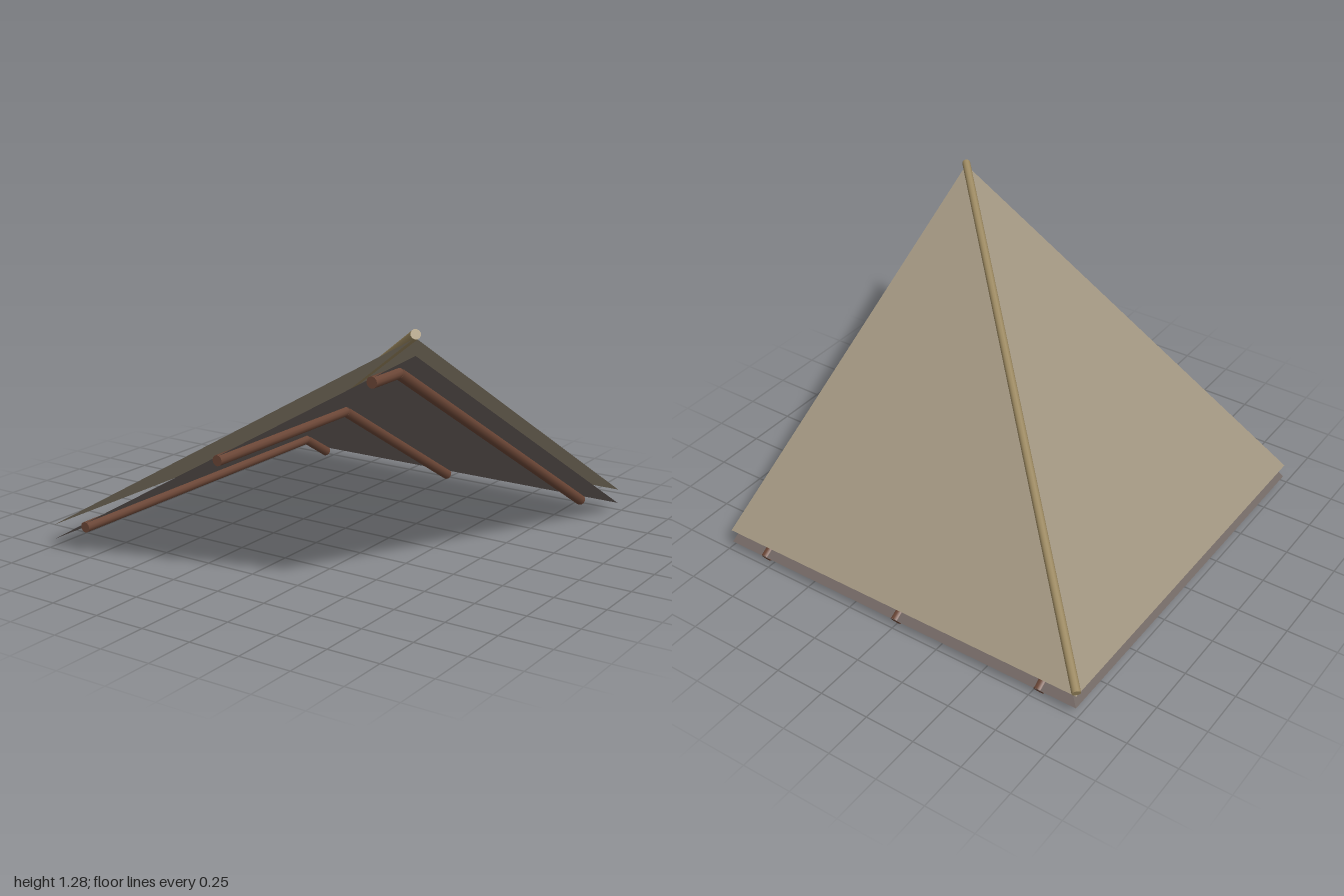
import * as THREE from 'three';

const HALF = 0.985;      // half width of the square roof corner
const RISE = 1.137;      // height gained from eave to peak
const SLOPE = RISE / (2 * HALF);

const paint = (color, side = THREE.FrontSide) => new THREE.MeshStandardMaterial({ color, side });

// One triangular roof slope; the hip runs from (-x,-z) up to (+x,+z)
function slope(name, eaveY, corners, material) {
  const points = corners.map(([x, z, up]) => new THREE.Vector3(x * HALF, eaveY + up * RISE, z * HALF));
  const geometry = new THREE.BufferGeometry().setFromPoints(points);
  geometry.computeVertexNormals();
  const mesh = new THREE.Mesh(geometry, material);
  mesh.name = name;
  return mesh;
}

// Round pole between two points
function pole(name, a, b, radius, material) {
  const direction = b.clone().sub(a);
  const mesh = new THREE.Mesh(new THREE.CylinderGeometry(radius, radius, direction.length(), 12), material);
  mesh.position.copy(a).add(b).multiplyScalar(0.5);
  mesh.quaternion.setFromUnitVectors(new THREE.Vector3(0, 1, 0), direction.normalize());
  mesh.name = name;
  return mesh;
}

export function createModel() {
  const model = new THREE.Group();
  model.name = 'roofCorner';
  const v = (x, y, z) => new THREE.Vector3(x, y, z);
  const wood = paint(0x6b4636);

  // Shingle cover above, lining sheet below, each with two slopes
  const layers = [
    ['shingle', 0.12, paint(0x9c907b, THREE.DoubleSide)],
    ['lining', 0.05, paint(0x6e6460, THREE.DoubleSide)],
  ];
  for (const [name, eaveY, material] of layers) {
    model.add(slope(name + 'SideSlope', eaveY, [[-1, -1, 0], [-1, 1, 0], [1, 1, 1]], material));
    model.add(slope(name + 'BackSlope', eaveY, [[-1, -1, 0], [1, 1, 1], [1, -1, 0]], material));
  }

  // Hip pole along the diagonal
  model.add(pole('hipPole', v(-0.985, 0.14, -0.985), v(0.985, 1.272, 0.985), 0.021, paint(0x9a875f)));

  // Bent beams: level under the side slope, then down under the back slope
  for (const x of [-0.785, 0, 0.785]) {
    const beam = new THREE.Group();
    beam.name = 'beam';
    const y = 0.6 + x * SLOPE;
    const endZ = -0.973;
    const bend = v(x, y, x);
    beam.add(pole('purlin', v(x, y, HALF), bend, 0.025, wood));
    beam.add(pole('rafter', bend, v(x, 0.6 + endZ * SLOPE - 0.005, endZ), 0.027, wood));
    model.add(beam);
  }
  return model;
}
